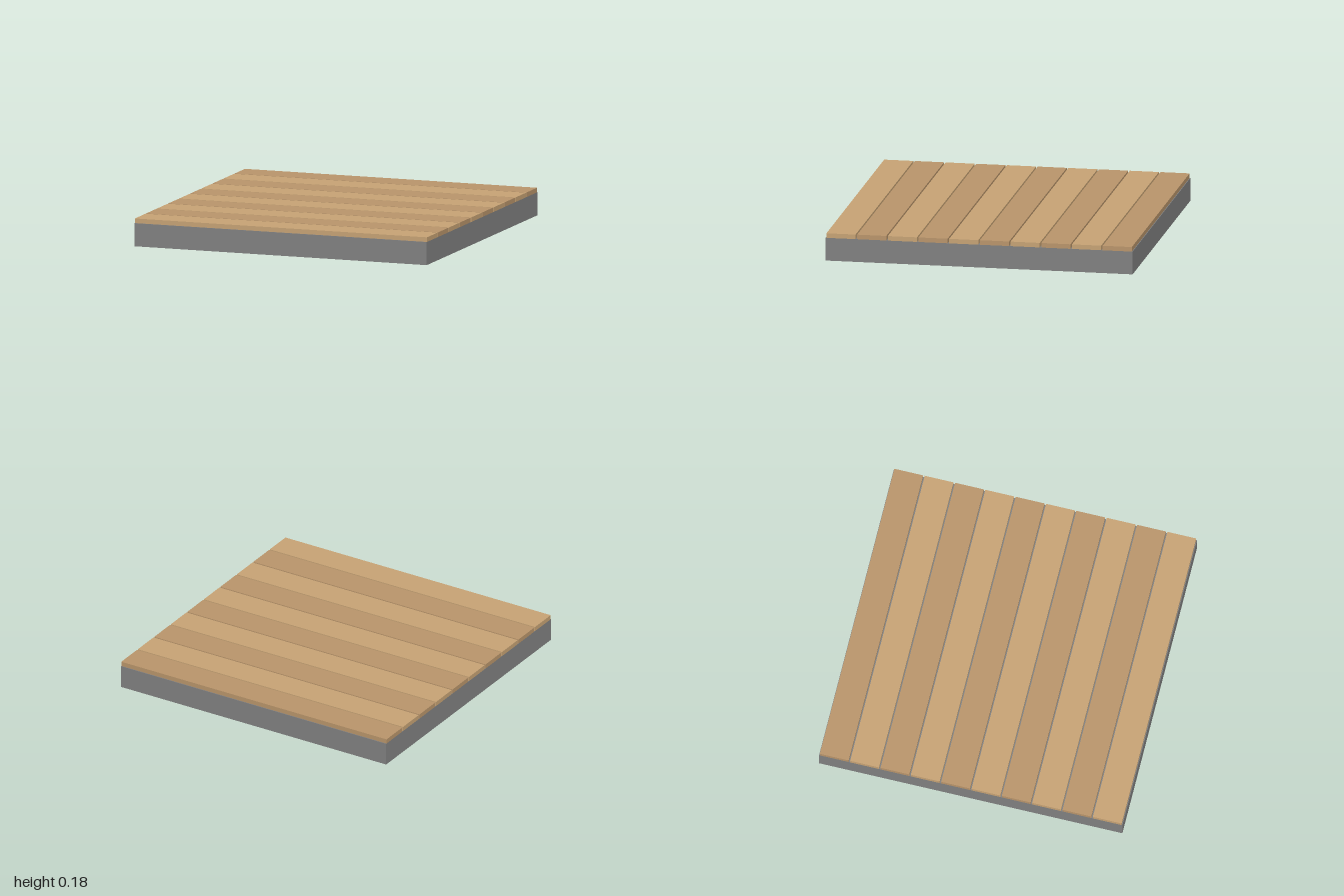
import * as THREE from 'three';

const SIZE = 2, BASE_H = 0.15, PLANK_H = 0.03, PLANKS = 10, GAP = 0.01;

export function createModel() {
  const group = new THREE.Group();
  group.name = 'plankPlatform';

  // Solid slab under the deck
  const base = new THREE.Mesh(
    new THREE.BoxGeometry(SIZE, BASE_H, SIZE),
    new THREE.MeshStandardMaterial({ color: 0x808080 })
  );
  base.name = 'base';
  base.position.y = BASE_H / 2;
  group.add(base);

  // Row of planks in two alternating wood tones, with narrow gaps
  const pitch = SIZE / PLANKS;
  const plankGeometry = new THREE.BoxGeometry(SIZE, PLANK_H, pitch - GAP);
  const woods = [0xb8946a, 0xc6a274].map(color => new THREE.MeshStandardMaterial({ color }));
  const deck = new THREE.Group();
  deck.name = 'deck';
  for (let i = 0; i < PLANKS; i++) {
    const plank = new THREE.Mesh(plankGeometry, woods[i % 2]);
    plank.name = `plank${i + 1}`;
    plank.position.set(0, BASE_H + PLANK_H / 2, -SIZE / 2 + pitch * (i + 0.5));
    deck.add(plank);
  }
  group.add(deck);

  return group;
}
